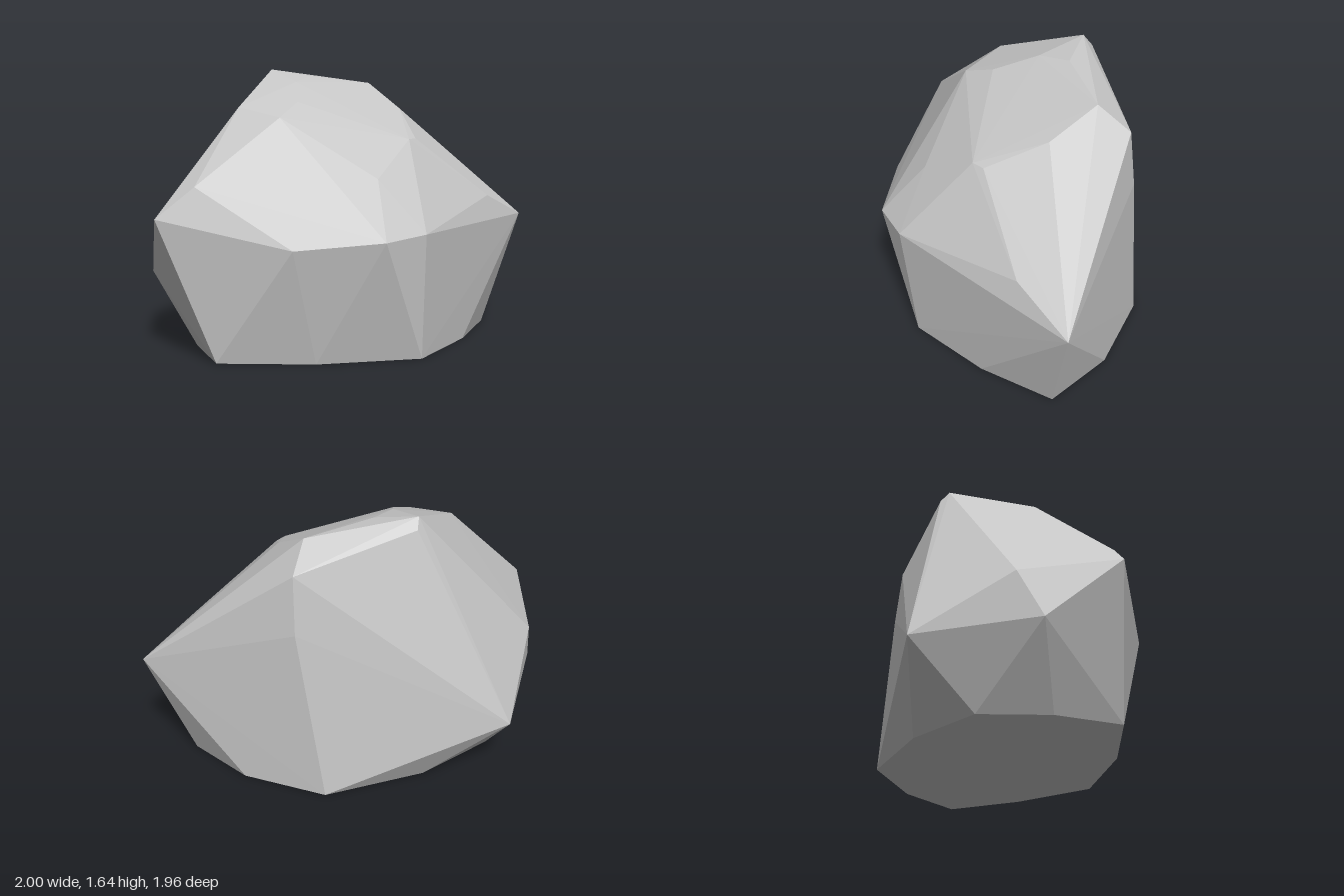
import * as THREE from 'three';
import { ConvexGeometry } from 'three/addons/geometries/ConvexGeometry.js';

const stone = new THREE.MeshStandardMaterial({ color: 0xc7c7c7 });
stone.name = 'stone grey';

// Corners of the faceted boulder, in rings from the ground up
const base = [
  [0.78, 0, 0.23], [0.85, 0, -0.30], [0.82, 0, -0.78], [0.38, 0, -0.87], [-0.14, 0, -0.78],
  [-0.54, 0, -0.30], [-0.73, 0, 0.18], [-0.54, 0, 0.55], [-0.24, 0, 0.83], [0.28, 0, 0.60],
];
const waist = [
  [1, 0.70, -0.98], [-1, 0.40, -0.09], [-0.85, 0.73, 0.48], [-0.80, 0.45, 0.62],
  [-0.54, 0.83, 0.98], [0.23, 0.68, 0.79], [0.68, 0.72, 0.54], [0.82, 0.74, 0.29],
];
const shoulder = [
  [0.90, 0.86, -0.59], [0.53, 1.04, 0.31], [0.58, 1.24, -0.15], [0.57, 1.24, -0.07],
  [-0.35, 1.01, 0.86], [0.02, 1.06, -0.80],
];
const crown = [
  [-0.34, 1.43, 0.37], [-0.04, 1.38, 0.42], [-0.03, 1.46, 0.21], [0.36, 1.40, -0.44],
  [0.04, 1.41, -0.77], [0.09, 1.55, -0.58], [-0.16, 1.60, -0.24], [-0.16, 1.57, -0.03],
  [-0.41, 1.64, -0.18], [-0.43, 1.58, -0.23],
];

export function createModel() {
  const group = new THREE.Group();
  group.name = 'boulder';
  const points = [...base, ...waist, ...shoulder, ...crown].map((p) => new THREE.Vector3(...p));
  const rock = new THREE.Mesh(new ConvexGeometry(points), stone);
  rock.name = 'rock';
  group.add(rock);
  return group;
}
